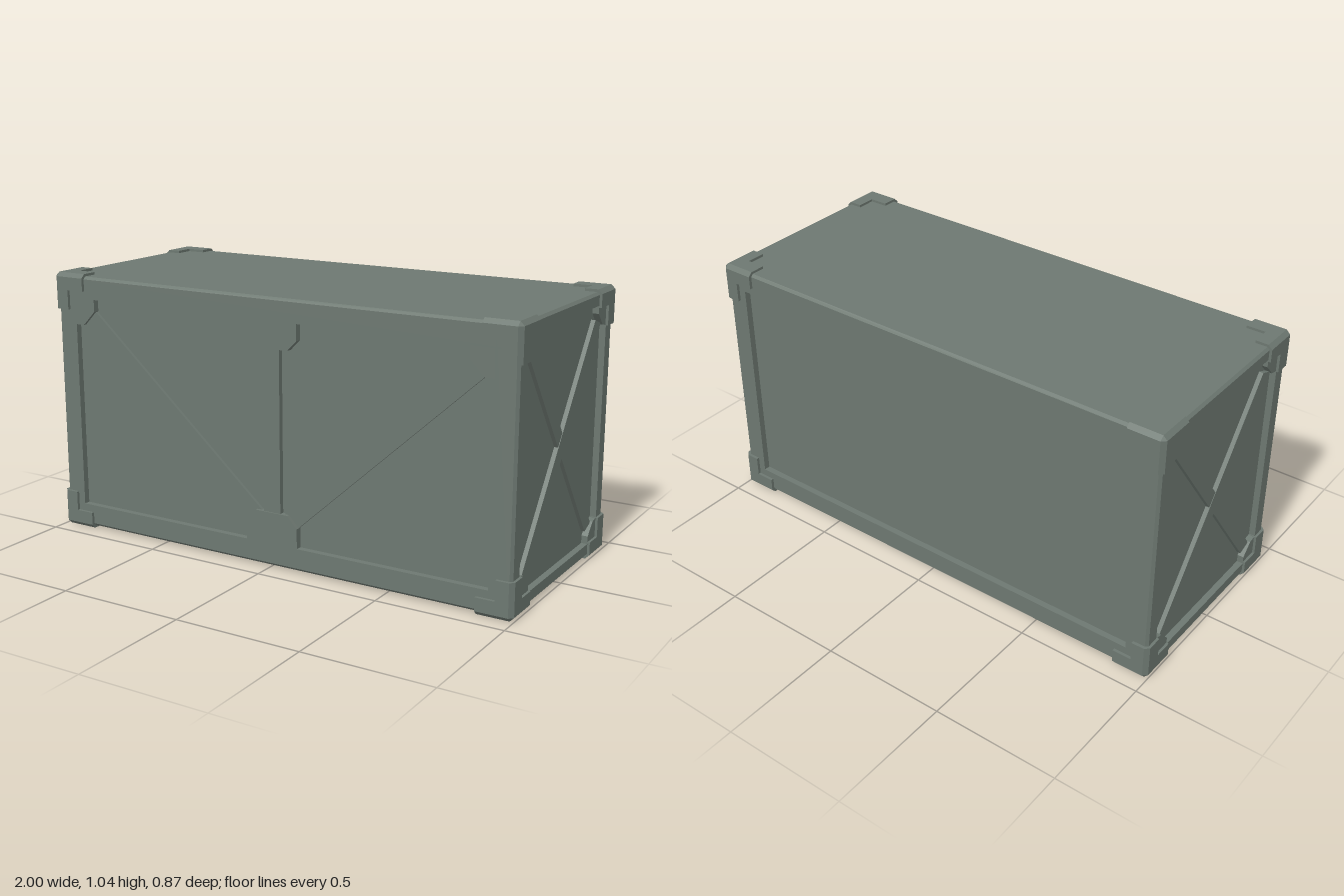
import * as THREE from 'three';
import { ConvexGeometry } from 'three/addons/geometries/ConvexGeometry.js';

const MID = 0.5225; // half height of the container

export function createModel() {
  const model = new THREE.Group();
  model.name = 'container';
  const paint = new THREE.MeshStandardMaterial({ color: 0x6d7871 });
  paint.name = 'grey green paint';

  function add(parent, name, geometry) {
    const mesh = new THREE.Mesh(geometry, paint);
    mesh.name = name;
    parent.add(mesh);
    return mesh;
  }

  // Block from lo to hi (measured from the centre) with chamfered outer edges.
  // An axis with lo = 0 is mirrored within the block, other axes follow sign.
  function block(lo, hi, chamfer, sign) {
    let pts = [];
    for (let mask = 0; mask < 8; mask++) {
      const outer = [0, 1, 2].filter((a) => mask & (1 << a));
      const faces = outer.length ? outer : [-1];
      for (const face of faces) {
        pts.push(lo.map((l, a) => (!outer.includes(a) ? l : a === face ? hi[a] : hi[a] - chamfer)));
      }
    }
    lo.forEach((l, a) => {
      if (l !== 0) return;
      pts = pts.filter((p) => p[a] !== 0);
      pts = pts.concat(pts.map((p) => p.map((v, i) => (i === a ? -v : v))));
    });
    return new ConvexGeometry(pts.map((p) =>
      new THREE.Vector3(p[0] * sign[0], p[1] * sign[1] + MID, p[2] * sign[2])));
  }

  // Copies of a block in every mirrored position
  function mirrored(name, lo, hi, chamfer) {
    const signs = lo.map((l) => (l === 0 ? [1] : [-1, 1]));
    for (const x of signs[0]) for (const y of signs[1]) for (const z of signs[2]) {
      add(model, name, block(lo, hi, chamfer, [x, y, z]));
    }
  }

  // Flat plate cut from an outline, from depth z0 to z1
  function plate(parent, name, outline, z0, z1) {
    const shape = new THREE.Shape(outline.map(([x, y]) => new THREE.Vector2(x, y)));
    const geometry = new THREE.ExtrudeGeometry(shape, { depth: z1 - z0, bevelEnabled: false });
    add(parent, name, geometry.translate(0, 0, z0));
  }

  // Core with recessed panels
  const core = add(model, 'body', new THREE.BoxGeometry(1.93, 1.025, 0.8));
  core.position.y = MID;

  // Raised frame around the long sides and the ends
  const frame = [0.99, 0.5125, 0.425];
  mirrored('sideRail', [0, 0.425, 0.4], frame, 0.01);
  mirrored('sidePost', [0.902, 0, 0.4], frame, 0.01);
  mirrored('endRail', [0.965, 0.4625, 0], frame, 0.01);
  mirrored('endPost', [0.965, 0, 0.365], frame, 0.01);

  // Three-armed corner brackets
  const outer = [1, 0.5225, 0.437];
  const notch = [0.932, 0.455, 0.36];
  const reach = [0.857, 0.3775, 0.285];
  for (let a = 0; a < 3; a++) {
    mirrored('cornerBracket', notch.map((n, i) => (i === a ? reach[a] : n)), outer, 0.016);
  }

  // Front braces and gussets
  const front = new THREE.Group();
  front.name = 'frontBracing';
  model.add(front);
  const cx = 0.012;
  plate(front, 'centrePost', [[cx - 0.037, 0.2], [cx + 0.037, 0.2], [cx + 0.037, 0.86], [cx - 0.037, 0.86]], 0.39, 0.42);
  plate(front, 'topGusset', [[cx - 0.115, 0.9475], [cx - 0.115, 0.885], [cx - 0.075, 0.845],
    [cx + 0.075, 0.845], [cx + 0.115, 0.885], [cx + 0.115, 0.9475]], 0.39, 0.425);
  plate(front, 'bottomGusset', [[cx - 0.112, 0.0975], [cx + 0.112, 0.0975], [cx + 0.112, 0.175],
    [cx + 0.07, 0.22], [cx - 0.07, 0.22], [cx - 0.112, 0.175]], 0.39, 0.425);
  for (const s of [-1, 1]) {
    const side = (pts) => pts.map(([x, y]) => [s * x, y]);
    plate(front, 'cornerGusset', side([[0.902, 0.843], [0.865, 0.843], [0.81, 0.9], [0.81, 0.9475], [0.902, 0.9475]]), 0.39, 0.425);
    plate(front, 'diagonalBrace', side([[0.87, 0.85], [0.1 + s * cx, 0.165], [0.045 + s * cx, 0.215], [0.815, 0.9]]), 0.39, 0.412);
  }

  // Cross braces and corner gussets on both ends
  for (const s of [-1, 1]) {
    const end = new THREE.Group();
    end.name = s > 0 ? 'leftEndBracing' : 'rightEndBracing';
    end.rotation.y = s * Math.PI / 2;
    model.add(end);
    for (const d of [-1, 1]) {
      const across = [[0.33, 0.39], [-0.275, -0.41], [-0.33, -0.39], [0.275, 0.41]];
      plate(end, 'crossBrace', across.map(([x, y]) => [d * x, MID + y]), 0.96, d > 0 ? 0.982 : 0.98);
      for (const e of [-1, 1]) {
        const gusset = [[0.365, 0.378], [0.33, 0.385], [0.285, 0.432], [0.285, 0.4625], [0.365, 0.4625]];
        plate(end, 'endGusset', gusset.map(([x, y]) => [d * x, MID + e * y]), 0.96, 0.99);
      }
    }
  }
  return model;
}
